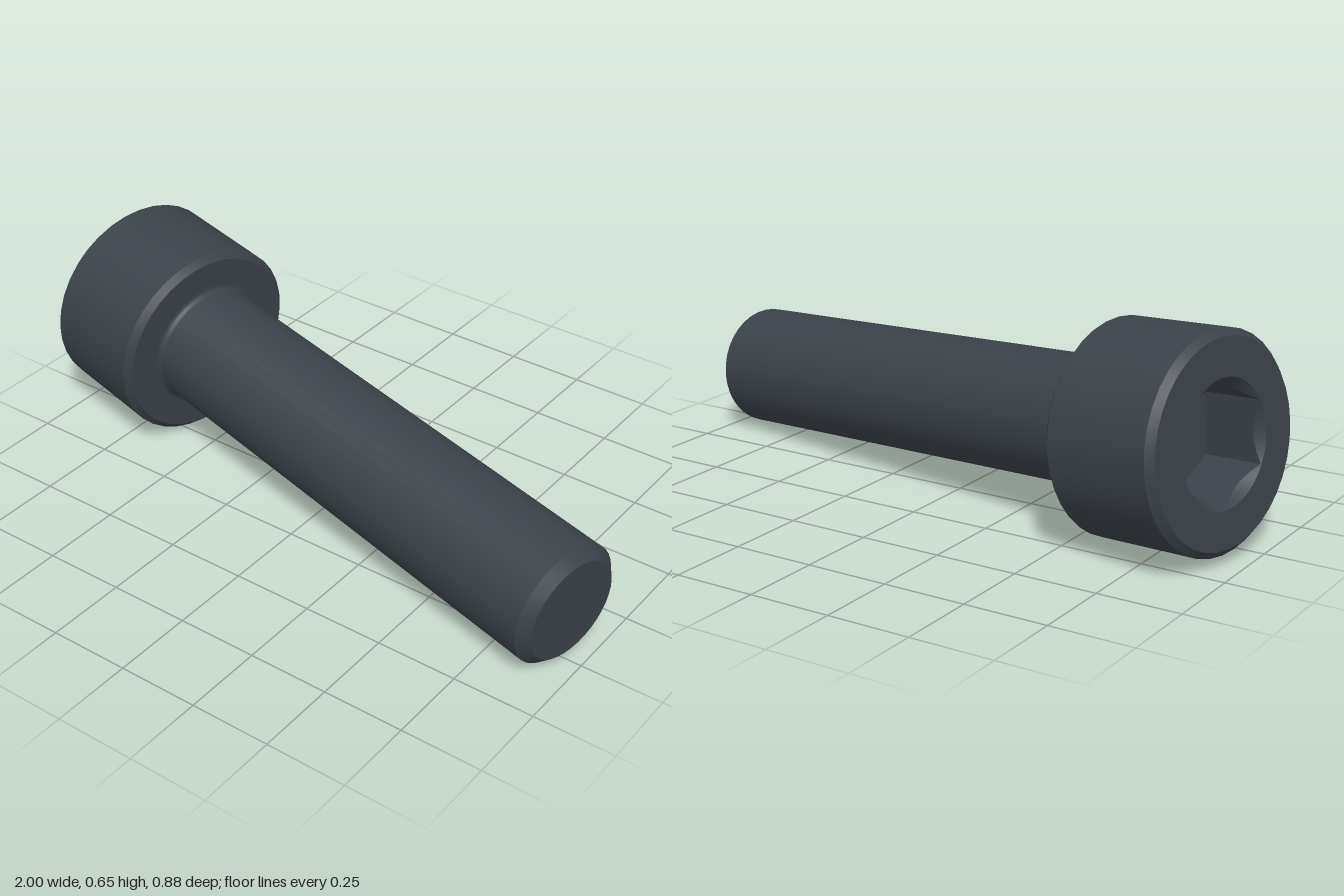
import * as THREE from 'three';
import { toCreasedNormals } from 'three/addons/utils/BufferGeometryUtils.js';

const SEG = 36;
const HEAD_R = 0.314, HEAD_H = 0.376, SHAFT_R = 0.188, LENGTH = 1.945;
const MOUTH_R = 0.183, HEX_APOTHEM = 0.157, SOCKET_DEPTH = 0.19;
const CHAMFER = 0.02, TIP_CHAMFER = 0.031, FILLET = 0.018;

const steel = new THREE.MeshStandardMaterial({ color: 0x3b4249 });
steel.name = 'darkSteel';

const turned = (profile) =>
  new THREE.LatheGeometry(profile.map(([r, y]) => new THREE.Vector2(r, y)), SEG);

function part(name, geometry) {
  const mesh = new THREE.Mesh(toCreasedNormals(geometry, 0.5), steel);
  mesh.name = name;
  return mesh;
}

// Hexagonal recess: a turned profile whose wall rings are pulled onto a hexagon,
// with a conical countersink meeting the flats in shallow arcs
function hexSocket() {
  const profile = [[MOUTH_R, 0], [0.17, -0.01], [0.17, -SOCKET_DEPTH], [0, -SOCKET_DEPTH]];
  const geometry = turned(profile);
  const pos = geometry.attributes.position;
  for (let i = 0; i <= SEG; i++) {
    const angle = (i / SEG) * Math.PI * 2;
    const offset = ((i % (SEG / 6)) / SEG) * Math.PI * 2 - Math.PI / 6;
    const r = HEX_APOTHEM / Math.cos(offset);
    for (const j of [1, 2]) {
      const y = j === 1 ? r - MOUTH_R : -SOCKET_DEPTH;
      pos.setXYZ(i * profile.length + j, r * Math.sin(angle), y, r * Math.cos(angle));
    }
  }
  return geometry;
}

export function createModel() {
  const model = new THREE.Group();
  model.name = 'socketHeadBolt';

  // Shaft with chamfered tip and a small fillet under the head
  const shaft = [[0, -LENGTH], [SHAFT_R - TIP_CHAMFER, -LENGTH], [SHAFT_R, -LENGTH + TIP_CHAMFER]];
  for (let i = 0; i <= 4; i++) {
    const a = (i / 4) * Math.PI / 2;
    shaft.push([SHAFT_R + FILLET * (1 - Math.cos(a)), -HEAD_H - FILLET * (1 - Math.sin(a))]);
  }
  model.add(part('shaft', turned(shaft)));

  // Cylindrical head, chamfered on both rims, open at the socket mouth
  model.add(part('head', turned([
    [SHAFT_R + FILLET, -HEAD_H],
    [HEAD_R - CHAMFER, -HEAD_H],
    [HEAD_R, -HEAD_H + CHAMFER],
    [HEAD_R, -CHAMFER],
    [HEAD_R - CHAMFER, 0],
    [MOUTH_R, 0],
  ])));

  model.add(part('hexSocket', hexSocket()));

  // Lay the bolt along its tilted axis, two socket corners pointing up and down
  const axis = new THREE.Vector3(0.975, -0.081, 0.206).normalize();
  const side = new THREE.Vector3().crossVectors(axis, new THREE.Vector3(0, 1, 0)).normalize();
  const down = new THREE.Vector3().crossVectors(axis, side);
  model.quaternion.setFromRotationMatrix(
    new THREE.Matrix4().makeBasis(side, axis.clone().negate(), down));
  model.position.set(-0.933, 0.343, -0.138);

  const root = new THREE.Group();
  root.name = 'bolt';
  root.add(model);
  return root;
}
